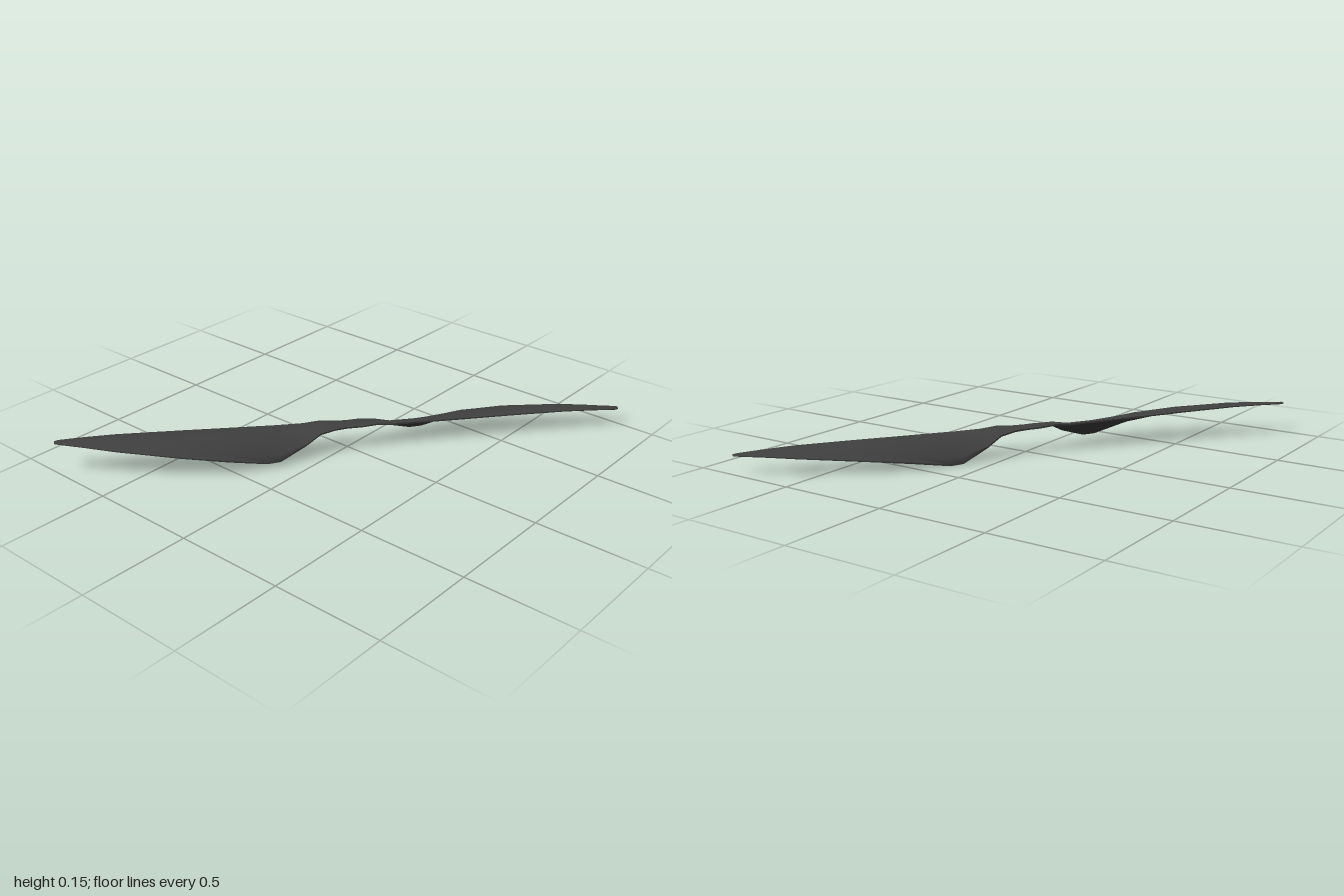
import * as THREE from 'three';
import { toCreasedNormals } from 'three/addons/utils/BufferGeometryUtils.js';

// Blade stations from hub to tip:
// span, leading edge offset, leading height, trailing offset, trailing height, camber, half thickness
const STATIONS = [
  [0.00, -0.036, 0.000, 0.036, 0.000, 0.000, 0.009],
  [0.06, -0.036, 0.001, 0.046, -0.001, 0.000, 0.009],
  [0.13, -0.034, 0.007, 0.060, -0.012, 0.004, 0.009],
  [0.20, -0.031, 0.001, 0.082, -0.052, 0.010, 0.009],
  [0.32, -0.028, 0.001, 0.129, -0.097, 0.022, 0.009],
  [0.38, -0.027, 0.002, 0.139, -0.098, 0.025, 0.009],
  [0.55, -0.027, 0.004, 0.162, -0.064, 0.024, 0.008],
  [0.75, -0.026, 0.007, 0.149, -0.038, 0.020, 0.007],
  [1.02, -0.026, 0.009, 0.093, -0.015, 0.012, 0.006],
  [1.16, -0.026, 0.005, 0.048, -0.006, 0.006, 0.005],
  [1.268, -0.025, 0.000, 0.013, -0.001, 0.001, 0.004],
  [1.284, -0.016, 0.000, 0.007, 0.000, 0.000, 0.003],
];
const STEPS = 10;
const SPAN = new THREE.Vector3(0.776, 0, 0.631);
const CHORD = new THREE.Vector3(0.631, 0, -0.776);

// One closed airfoil section; side -1 is the half-turn copy of side +1
function section(station, side) {
  const [s, leadV, leadY, trailV, trailY, camber, half] = station;
  const ring = [];
  const add = (k, face) => {
    const t = side > 0 ? k / STEPS : 1 - k / STEPS;
    const thick = half * (0.4 + 0.6 * Math.sin(Math.PI * t));
    const v = side * THREE.MathUtils.lerp(leadV, trailV, t);
    const y = THREE.MathUtils.lerp(leadY, trailY, t) + camber * 4 * t * (1 - t) + face * thick;
    const p = SPAN.clone().multiplyScalar(side * s).addScaledVector(CHORD, v);
    p.y = y + 0.113 - 0.03 * p.x; // slight tilt of the whole propeller
    ring.push(p);
  };
  for (let k = 0; k <= STEPS; k++) add(k, 1);
  for (let k = STEPS; k >= 0; k--) add(k, -1);
  return ring;
}

// Skin a row of sections and cap both tips
function loft(rings) {
  const n = rings[0].length;
  const index = [];
  for (let i = 0; i < rings.length - 1; i++) {
    for (let j = 0; j < n; j++) {
      const k = (j + 1) % n;
      const a = i * n + j, b = i * n + k, c = a + n, d = b + n;
      index.push(a, c, b, b, c, d);
    }
  }
  const last = (rings.length - 1) * n;
  for (let j = 1; j < n - 1; j++) {
    index.push(0, j, j + 1);
    index.push(last, last + j + 1, last + j);
  }
  const geometry = new THREE.BufferGeometry().setFromPoints(rings.flat());
  geometry.setIndex(index);
  return toCreasedNormals(geometry, 0.8);
}

export function createModel() {
  const group = new THREE.Group();
  group.name = 'propeller';
  const darkGrey = new THREE.MeshStandardMaterial({ color: 0x404040 });
  darkGrey.name = 'darkGrey';

  // Both twisted blades and the narrow hub form one continuous skin
  const rings = [
    ...STATIONS.slice(1).reverse().map((st) => section(st, -1)),
    ...STATIONS.map((st) => section(st, 1)),
  ];
  const blades = new THREE.Mesh(loft(rings), darkGrey);
  blades.name = 'propellerBlades';
  group.add(blades);
  return group;
}
